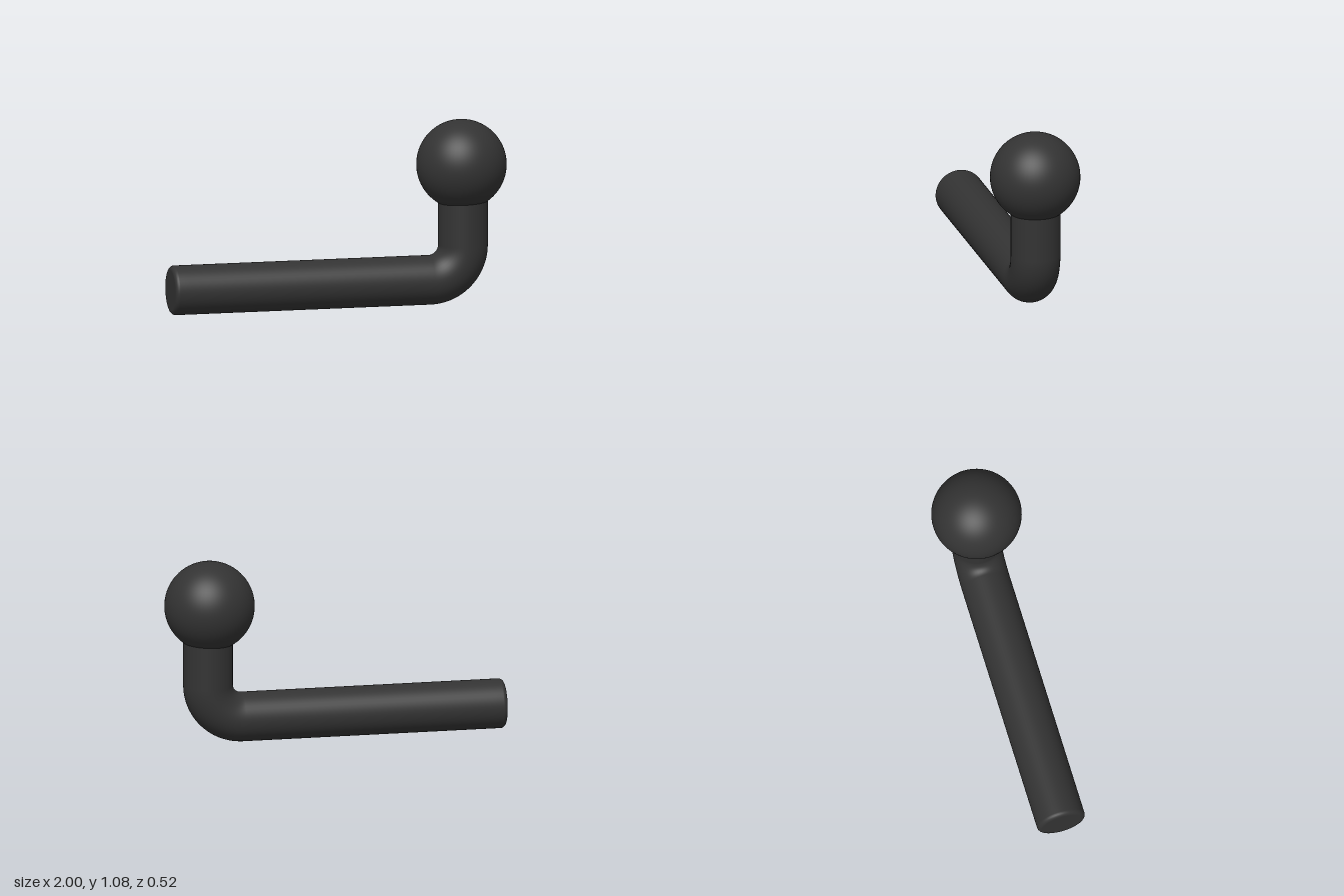
import * as THREE from 'three';

const R = 0.144;      // rod radius
const BEND = 0.2;     // elbow centreline radius
const NECK_X = 0.747; // axis of the upright neck
const END_X = -1;     // free end of the rod
const SIDES = 48;

export function createModel() {
  const group = new THREE.Group();
  const black = new THREE.MeshStandardMaterial({ color: 0x333333 });
  black.name = 'matte black';

  const add = (name, geometry, x, y) => {
    const mesh = new THREE.Mesh(geometry, black);
    mesh.name = name;
    mesh.position.set(x, y, 0);
    group.add(mesh);
  };

  const bendX = NECK_X - BEND;
  const bendY = R + BEND;

  // Straight rod with a softly rounded free end
  const round = 0.025;
  const profile = [];
  for (let i = 0; i <= 6; i++) {
    const a = (i / 6) * Math.PI / 2;
    profile.push(new THREE.Vector2(R - round + round * Math.sin(a), round - round * Math.cos(a)));
  }
  profile.push(new THREE.Vector2(R, 0.08), new THREE.Vector2(R, bendX - END_X));
  add('rod', new THREE.LatheGeometry(profile, SIDES).rotateZ(-Math.PI / 2), END_X, R);

  // Flat face closing the free end
  add('rodEnd', new THREE.CircleGeometry(R - round, SIDES).rotateY(-Math.PI / 2), END_X, R);

  // Quarter-turn elbow
  add('elbow', new THREE.TorusGeometry(BEND, R, SIDES, 24, Math.PI / 2).rotateZ(-Math.PI / 2), bendX, bendY);

  // Upright neck running into the ball
  const neckTop = 0.65;
  const neckHeight = neckTop - bendY;
  add('neck', new THREE.CylinderGeometry(R, R, neckHeight, SIDES, 1, true), NECK_X, bendY + neckHeight / 2);

  // Ball knob
  add('ball', new THREE.SphereGeometry(0.262, 64, 40), 0.738, 0.815);

  return group;
}
